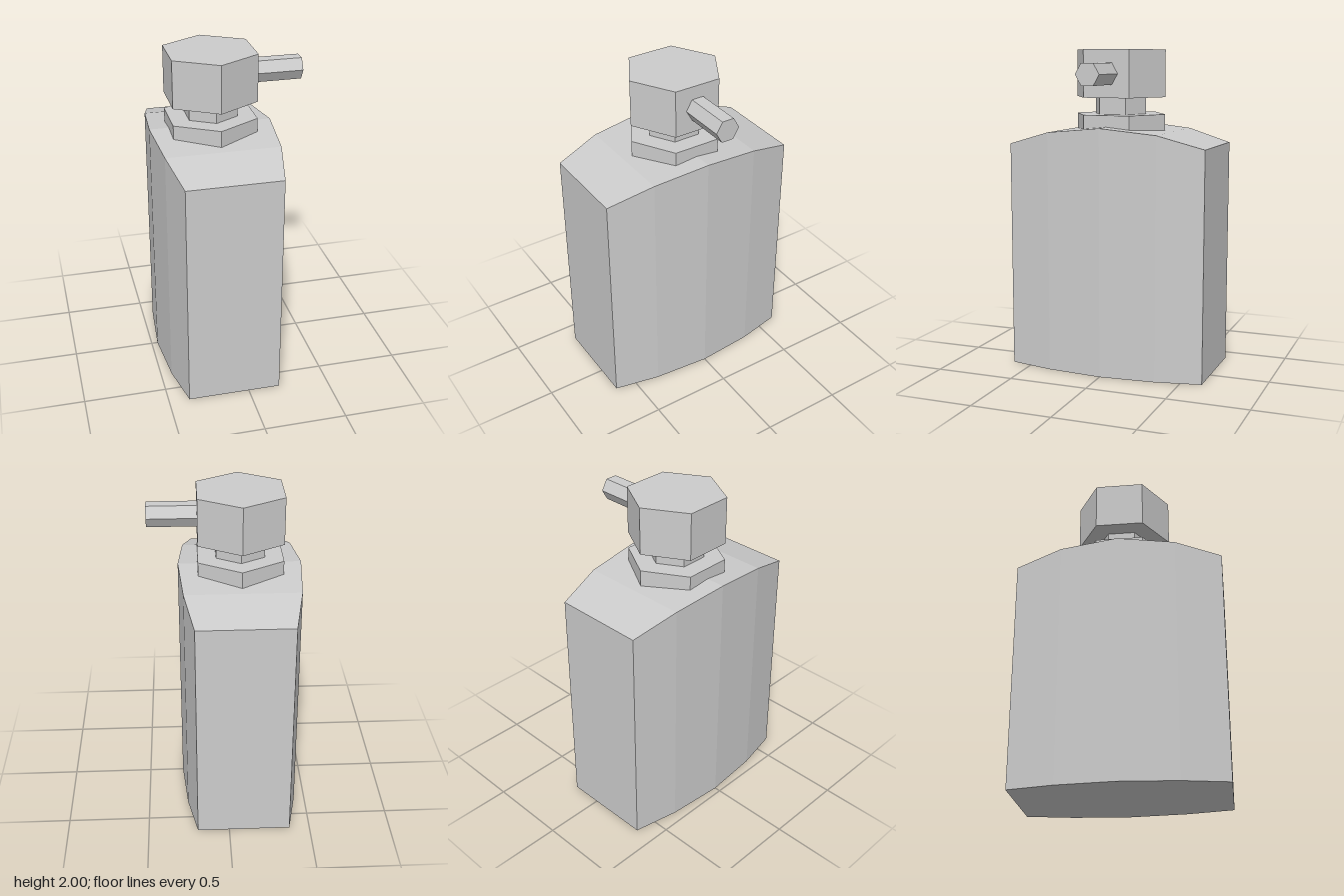
import * as THREE from 'three';

const AXIS_X = -0.09; // centre line of bottle and pump

const material = new THREE.MeshStandardMaterial({ color: 0xcccccc, flatShading: true });

function addMesh(parent, name, geometry) {
  const mesh = new THREE.Mesh(geometry, material);
  mesh.name = name;
  parent.add(mesh);
  return mesh;
}

// Upright hexagonal prism with a corner facing front
function hexPrism(parent, name, radius, bottom, top) {
  const mesh = addMesh(parent, name, new THREE.CylinderGeometry(radius, radius, top - bottom, 6));
  mesh.position.set(AXIS_X, (bottom + top) / 2, 0);
}

// Box divided along z, with its sides bulged and its top arched
function bottleGeometry() {
  // z, half width, height for each cross-section, back to front
  const sections = [
    [-0.63, 0.285, 1.42],
    [-0.35, 0.343, 1.5],
    [0, 0.372, 1.535],
    [0.35, 0.343, 1.5],
    [0.63, 0.285, 1.42],
  ];
  const geometry = new THREE.BoxGeometry(2, 1, 4, 1, 1, 4);
  const position = geometry.attributes.position;
  for (let i = 0; i < position.count; i++) {
    const [z, halfWidth, height] = sections[Math.round(position.getZ(i)) + 2];
    const x = AXIS_X + position.getX(i) * halfWidth;
    position.setXYZ(i, x, position.getY(i) > 0 ? height : 0, z);
  }
  geometry.computeVertexNormals();
  return geometry;
}

export function createModel() {
  const model = new THREE.Group();
  model.name = 'pumpBottle';

  addMesh(model, 'bottleBody', bottleGeometry());

  // Pump: collar sunk into the arched shoulder, thin neck, wide head
  const pump = new THREE.Group();
  pump.name = 'pump';
  model.add(pump);
  hexPrism(pump, 'collar', 0.293, 1.47, 1.605);
  hexPrism(pump, 'neck', 0.168, 1.6, 1.71);
  hexPrism(pump, 'pumpHead', 0.293, 1.71, 2);

  // Spout pointing to the left side
  const spout = addMesh(pump, 'spout', new THREE.CylinderGeometry(0.075, 0.075, 0.31, 6));
  spout.rotation.z = -Math.PI / 2;
  spout.position.set(0.305, 1.855, 0);

  return model;
}
